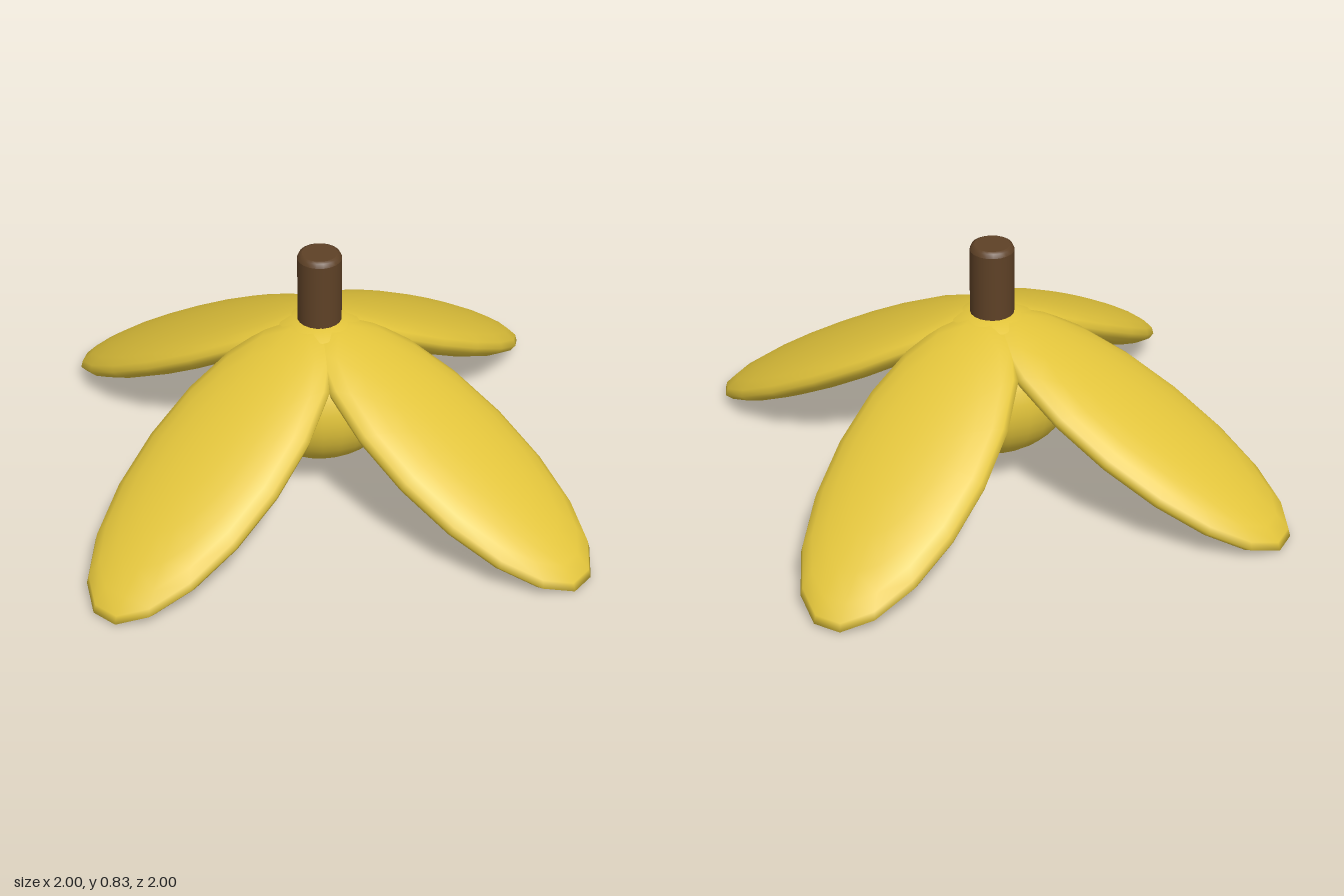
import * as THREE from 'three';

export function createModel() {
  const model = new THREE.Group();
  model.name = 'peeledFruit';

  const yellow = new THREE.MeshStandardMaterial({ color: 0xe2c43b });
  yellow.name = 'peel yellow';
  const brown = new THREE.MeshStandardMaterial({ color: 0x5e4126 });
  brown.name = 'stem brown';

  // Four flattened, drooping petals set in a pinwheel around the axis
  const petalGeometry = new THREE.SphereGeometry(1, 18, 12);
  for (let i = 0; i < 4; i++) {
    const arm = new THREE.Group();
    arm.name = `petal${i + 1}`;
    arm.rotation.y = 0.4 + (i * Math.PI) / 2;
    const petal = new THREE.Mesh(petalGeometry, yellow);
    petal.name = 'petalBlade';
    petal.scale.set(0.265, 0.08, 0.605);
    petal.position.set(0, 0.293, 0.543);
    petal.rotation.x = 0.5;
    arm.add(petal);
    model.add(arm);
  }

  // Slightly squashed round core under the petals
  const core = new THREE.Mesh(new THREE.SphereGeometry(1, 28, 20), yellow);
  core.name = 'core';
  core.scale.set(0.285, 0.255, 0.285);
  core.position.y = 0.34;
  model.add(core);

  // Stem with a small bevel at the top
  const profile = [[0, 0.5], [0.073, 0.5], [0.073, 0.5], [0.073, 0.812], [0.073, 0.812],
    [0.067, 0.826], [0.058, 0.83], [0.058, 0.83], [0, 0.83]]
    .map(([x, y]) => new THREE.Vector2(x, y));
  const stem = new THREE.Mesh(new THREE.LatheGeometry(profile, 20), brown);
  stem.name = 'stem';
  model.add(stem);

  return model;
}
